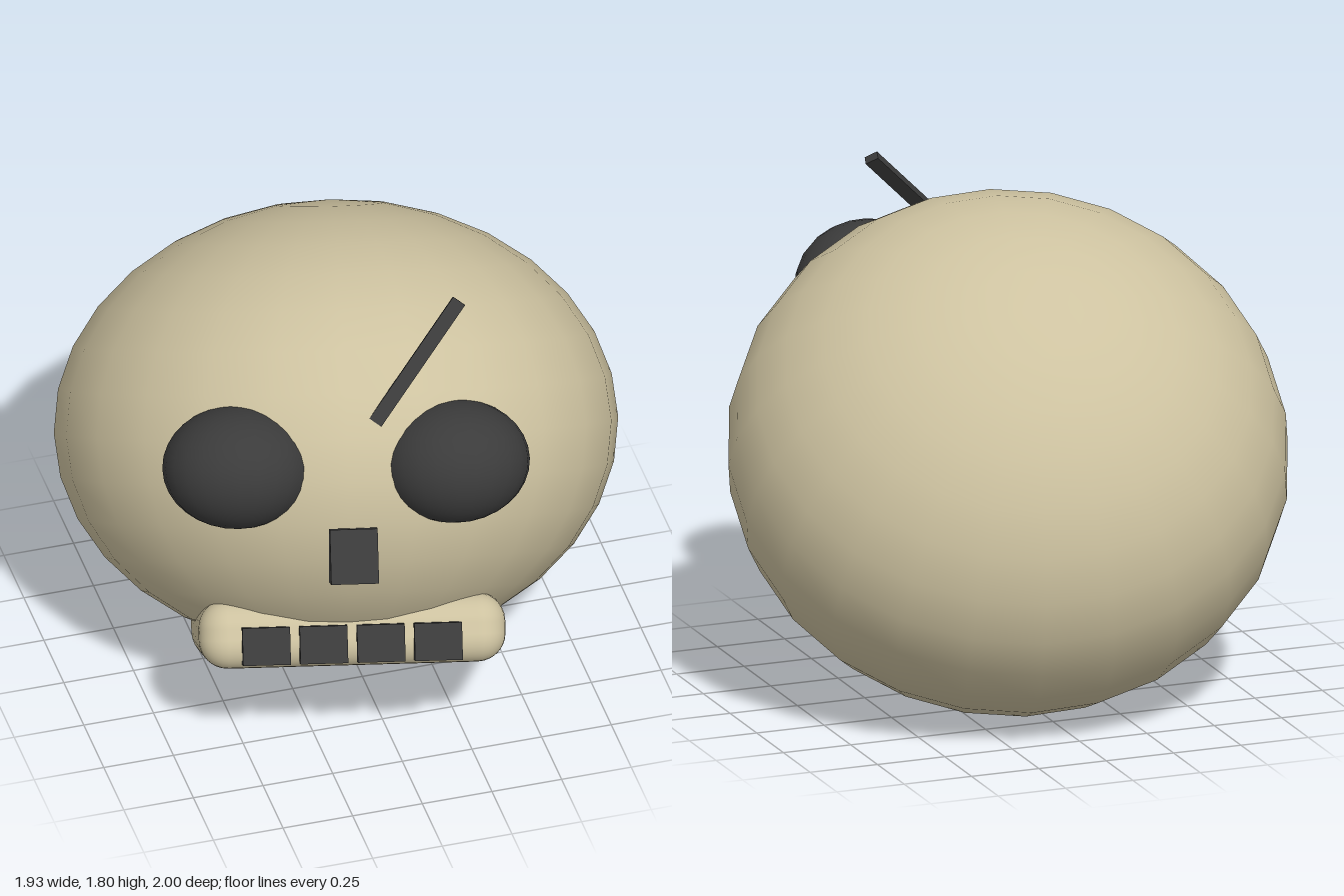
import * as THREE from 'three';
import { RoundedBoxGeometry } from 'three/addons/geometries/RoundedBoxGeometry.js';

export function createModel() {
  const bone = new THREE.MeshStandardMaterial({ color: 0xcdc2a0 });
  bone.name = 'bone';
  const charcoal = new THREE.MeshStandardMaterial({ color: 0x3b3b3b });
  charcoal.name = 'charcoal';

  const model = new THREE.Group();
  model.name = 'skull';

  // The whole head leans back and turns a little to its right
  const head = new THREE.Group();
  head.name = 'head';
  head.rotation.set(-0.607, -0.232, 0, 'YXZ');
  head.position.set(0, 0.86, -0.08);
  model.add(head);

  const add = (name, geometry, material, x, y, z) => {
    const mesh = new THREE.Mesh(geometry, material);
    mesh.name = name;
    mesh.position.set(x, y, z);
    head.add(mesh);
    return mesh;
  };
  const ellipsoid = (rx, ry, rz, w, h) =>
    new THREE.SphereGeometry(1, w, h).scale(rx, ry, rz);

  // Flattened cranium
  add('cranium', ellipsoid(0.975, 0.78, 0.985, 24, 16), bone, 0, 0, 0);

  // Jaw slab with soft edges, sunk into the underside
  add('jaw', new RoundedBoxGeometry(1.06, 0.24, 0.86, 4, 0.1), bone, 0.02, -0.69, 0.1);

  // Bulging eyes
  for (const side of [-1, 1]) {
    add(side > 0 ? 'leftEye' : 'rightEye', ellipsoid(0.26, 0.215, 0.245, 24, 16),
      charcoal, side * 0.375, -0.094, 0.83);
  }

  // Nose block
  add('nose', new THREE.BoxGeometry(0.165, 0.19, 0.22), charcoal, 0.015, -0.41, 0.86);

  // Row of four teeth
  for (let i = 0; i < 4; i++) {
    add('tooth' + (i + 1), new THREE.BoxGeometry(0.165, 0.13, 0.16),
      charcoal, 0.015 + (i - 1.5) * 0.198, -0.73, 0.505);
  }

  // Single raised brow
  add('brow', new THREE.BoxGeometry(0.51, 0.05, 0.03), charcoal, 0.25, 0.257, 0.955)
    .rotation.z = 0.94;

  return model;
}
